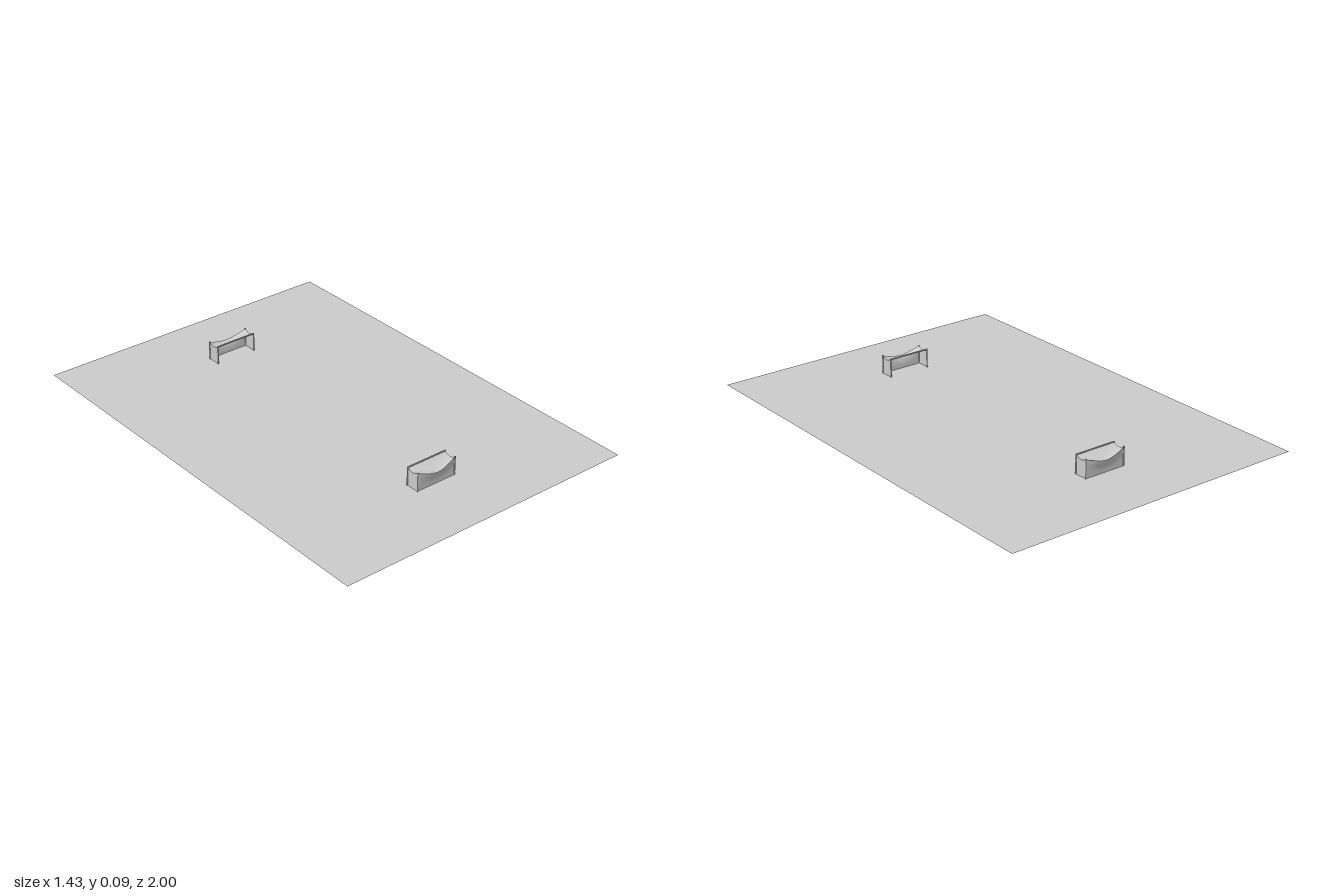
import * as THREE from 'three';

const HALF_W = 0.098, TOP = 0.092, INNER = 0.63, OUTER = 0.689, BAR = 0.005;

const sheetMat = new THREE.MeshStandardMaterial({ color: 0xcccccc, side: THREE.DoubleSide });
const frameMat = new THREE.MeshStandardMaterial({ color: 0xcccccc });

// Cloth panel: a grid whose vertices follow rule(u, v) -> [x, y, z], u and v in 0..1
function panel(name, nu, nv, rule) {
  const geo = new THREE.PlaneGeometry(1, 1, nu, nv);
  const pos = geo.attributes.position;
  for (let i = 0; i < pos.count; i++) {
    pos.setXYZ(i, ...rule(pos.getX(i) + 0.5, 0.5 - pos.getY(i)));
  }
  geo.computeVertexNormals();
  const mesh = new THREE.Mesh(geo, sheetMat);
  mesh.name = name;
  return mesh;
}

function bar(name, w, h, d, x, y, z) {
  const mesh = new THREE.Mesh(new THREE.BoxGeometry(w, h, d), frameMat);
  mesh.position.set(x, y, z);
  mesh.name = name;
  return mesh;
}

// Sag of the net between its corners
const span = (u) => 1 - Math.pow(Math.abs(2 * u - 1), 1.6);
const backDrop = (u) => 0.026 * span(u);
const backBulge = (u) => 0.012 * span(u);
const edgeSag = (v) => 0.011 * Math.sin(Math.PI * v);

function createGoal() {
  const goal = new THREE.Group();
  const netX = (u) => (2 * u - 1) * HALF_W;

  // Net roof, hanging from the crossbar down to the slack back edge
  goal.add(panel('netRoof', 20, 8, (u, v) => [
    netX(u),
    TOP - backDrop(u) * v - edgeSag(v) * (1 - 0.5 * span(u)),
    INNER + (OUTER + backBulge(u) - INNER) * v,
  ]));

  // Net back, bulging at its top edge and settling straight below
  goal.add(panel('netBack', 20, 12, (u, v) => [
    netX(u),
    (TOP - backDrop(u)) * (1 - v),
    OUTER + backBulge(u) * Math.exp(-Math.pow(v / 0.35, 2)),
  ]));

  for (const s of [-1, 1]) {
    // Net side with a slack upper edge
    goal.add(panel('netSide', 8, 4, (u, v) => [
      s * HALF_W,
      (TOP - edgeSag(u)) * (1 - v),
      INNER + (OUTER - INNER) * u,
    ]));
    // Posts
    goal.add(bar('frontPost', BAR, 0.094, BAR, s * HALF_W, 0.047, INNER));
    goal.add(bar('backPost', BAR, 0.094, BAR, s * HALF_W, 0.047, OUTER));
  }
  goal.add(bar('crossbar', 2 * HALF_W + BAR, BAR, BAR, 0, TOP, INNER));
  return goal;
}

export function createModel() {
  const model = new THREE.Group();

  // Flat pitch
  const pitch = new THREE.Mesh(new THREE.PlaneGeometry(1.426, 2), sheetMat);
  pitch.rotation.x = -Math.PI / 2;
  pitch.position.y = 0.008;
  pitch.name = 'pitch';
  model.add(pitch);

  // One goal at each end, open towards the centre
  ['frontGoal', 'backGoal'].forEach((name, i) => {
    const goal = createGoal();
    goal.name = name;
    goal.rotation.y = i * Math.PI;
    model.add(goal);
  });
  return model;
}
